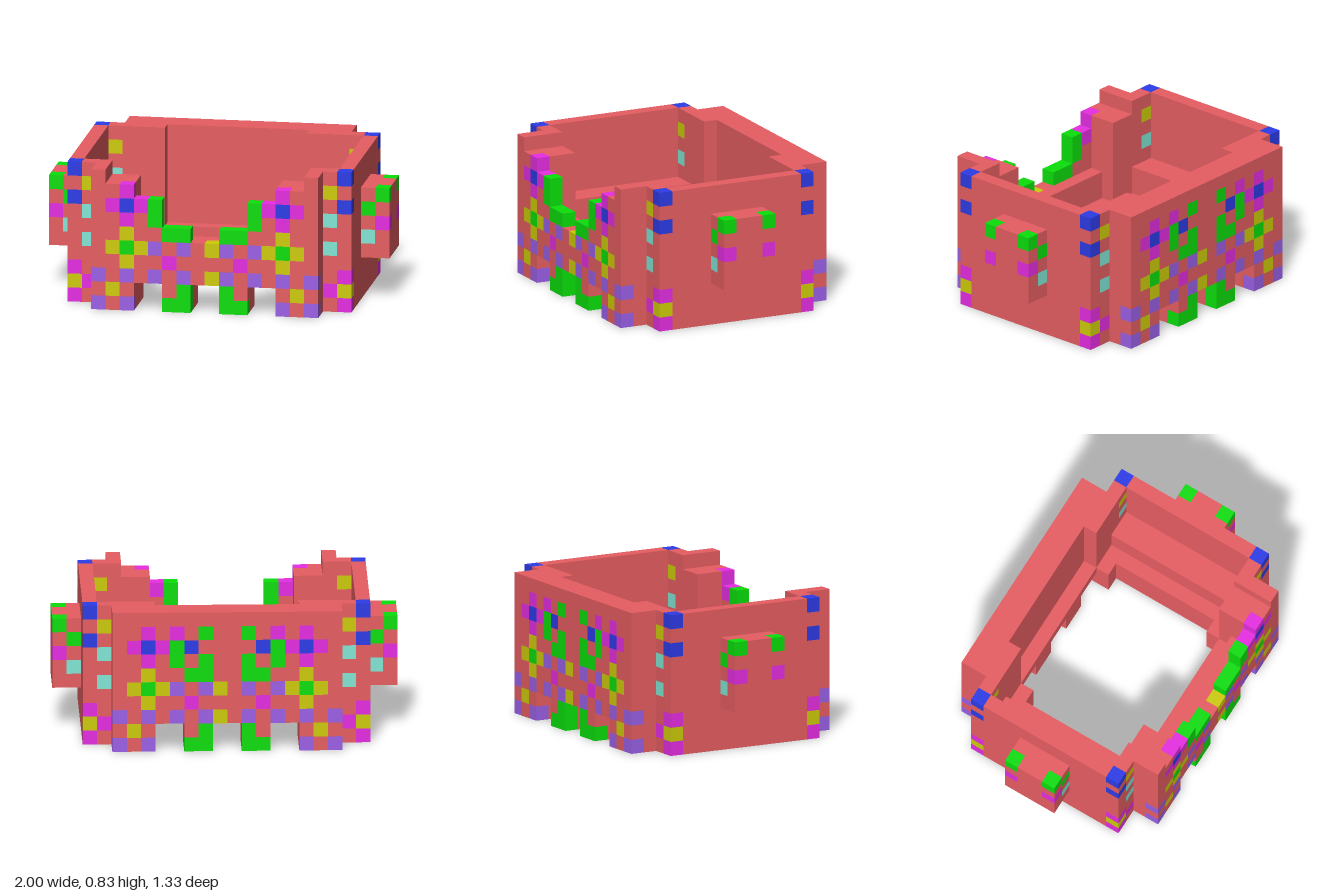
import * as THREE from 'three';
import { mergeGeometries } from 'three/addons/utils/BufferGeometryUtils.js';

const U = 1 / 12; // one block

const mat = (name, color) => {
  const m = new THREE.MeshStandardMaterial({ color });
  m.name = name;
  return m;
};

export function createModel() {
  const model = new THREE.Group();
  model.name = 'blockBuilding';
  const materials = {
    R: mat('red', 0xea5f63), G: mat('green', 0x0be00b), M: mat('magenta', 0xe62de2),
    B: mat('blue', 0x2f3ef0), Y: mat('yellow', 0xcecc08), C: mat('teal', 0x82e8d6),
    P: mat('violet', 0x9c60e8),
  };

  // Box from block coordinates
  const block = (x0, x1, y0, y1, z0, z1) =>
    new THREE.BoxGeometry((x1 - x0) * U, (y1 - y0) * U, (z1 - z0) * U)
      .translate((x0 + x1) / 2 * U, (y0 + y1) / 2 * U, (z0 + z1) / 2 * U);

  const add = (name, geometry, key = 'R') => {
    const mesh = new THREE.Mesh(geometry, materials[key]);
    mesh.name = name;
    model.add(mesh);
  };

  // Red box, also mirrored over x
  const pair = (name, x0, x1, y0, y1, z0, z1) => {
    add(name, block(x0, x1, y0, y1, z0, z1));
    add(name, block(-x1, -x0, y0, y1, z0, z1));
  };

  // One block thick panel: rows run from top to bottom, letters pick the colour
  const panel = (name, rows, x0, yBottom, z0) => {
    const parts = {};
    rows.forEach((row, r) => {
      const y = yBottom + rows.length - 1 - r;
      for (let i = 0; i < row.length;) {
        let j = i + 1;
        while (j < row.length && row[j] === row[i]) j++;
        if (row[i] !== '.') (parts[row[i]] ??= []).push(block(x0 + i, x0 + j, y, y + 1, z0, z0 + 1));
        i = j;
      }
    });
    for (const key in parts) add(name, mergeGeometries(parts[key]), key);
  };

  const flip = (row) => [...row].reverse().join('');

  // Decorated front and back faces: different upper rows, shared lower rows
  const frontTop = ['R.......', 'RRM.....', 'RMBMG...', 'RRMRG...', 'RRYRRGG.'];
  const backTop = ['RRRRRRRR', 'RRMRMRGR', 'RMBMGBRR', 'RRMRGRGR', 'RRYRRGGR'];
  const lower = ['RYGYPRPR', 'RRYRRMRR', 'PRPRPRPR', 'RYR..RG.', 'PRP..GG.'];
  const fullFace = (top) => [...top, ...lower].map((row, r) => {
    const other = flip(row);
    return row + (r === 5 || r === 7 ? 'Y' + other.slice(1) : other);
  });
  panel('frontFace', fullFace(frontTop), -8, 0, 7);
  panel('backFace', fullFace(backTop), -8, 0, -8);

  // Inner layers of the front wall, stepped down to a low middle
  pair('frontOuterPier', 7, 8, 0, 10, 5, 7);
  pair('frontInnerPier', 5, 7, 0, 9, 5, 7);
  add('frontMiddleWall', block(-5, 5, 2, 5, 6, 7));

  // Inner layers of the full height back wall
  pair('backPier', 5, 8, 0, 10, -7, -5);
  add('backMiddleWall', block(-5, 5, 2, 10, -7, -6));

  const corner = ['BR', 'RY', 'BR', 'RC', 'RR', 'RC', 'RR', 'MR', 'YM', 'MR'];
  const ear = ['GR', 'RG', 'MR', 'RC', 'RR'];
  for (const s of [1, -1]) {
    const z = (a, b) => (s > 0 ? [a, b] : [-b, -a]);
    // Floor ledge, short legs and inner corner posts
    add('floorLedge', block(-5, 5, 2, 3, ...z(5, 6)));
    pair('legCore', 1, 3, 0, 2, ...z(5, 7));
    pair('cornerPost', 5, 6, 0, 3, ...z(4, 5));
    // Decorated corner columns and faces of the side boxes
    panel('cornerColumn', corner, -10, 0, z(5, 6)[0]);
    panel('cornerColumn', corner.map(flip), 8, 0, z(5, 6)[0]);
    panel('sideBoxFace', ear, -12, 3, z(1, 2)[0]);
    panel('sideBoxFace', ear.map(flip), 10, 3, z(1, 2)[0]);
  }

  // Side walls with bench and low step inside, box outside
  pair('sideWall', 9, 10, 0, 10, -5, 5);
  pair('sideBench', 7, 9, 0, 5, -5, 5);
  pair('sideStep', 6, 7, 0, 3, -5, 5);
  pair('sideBoxCore', 10, 12, 3, 8, -1, 1);

  return model;
}
